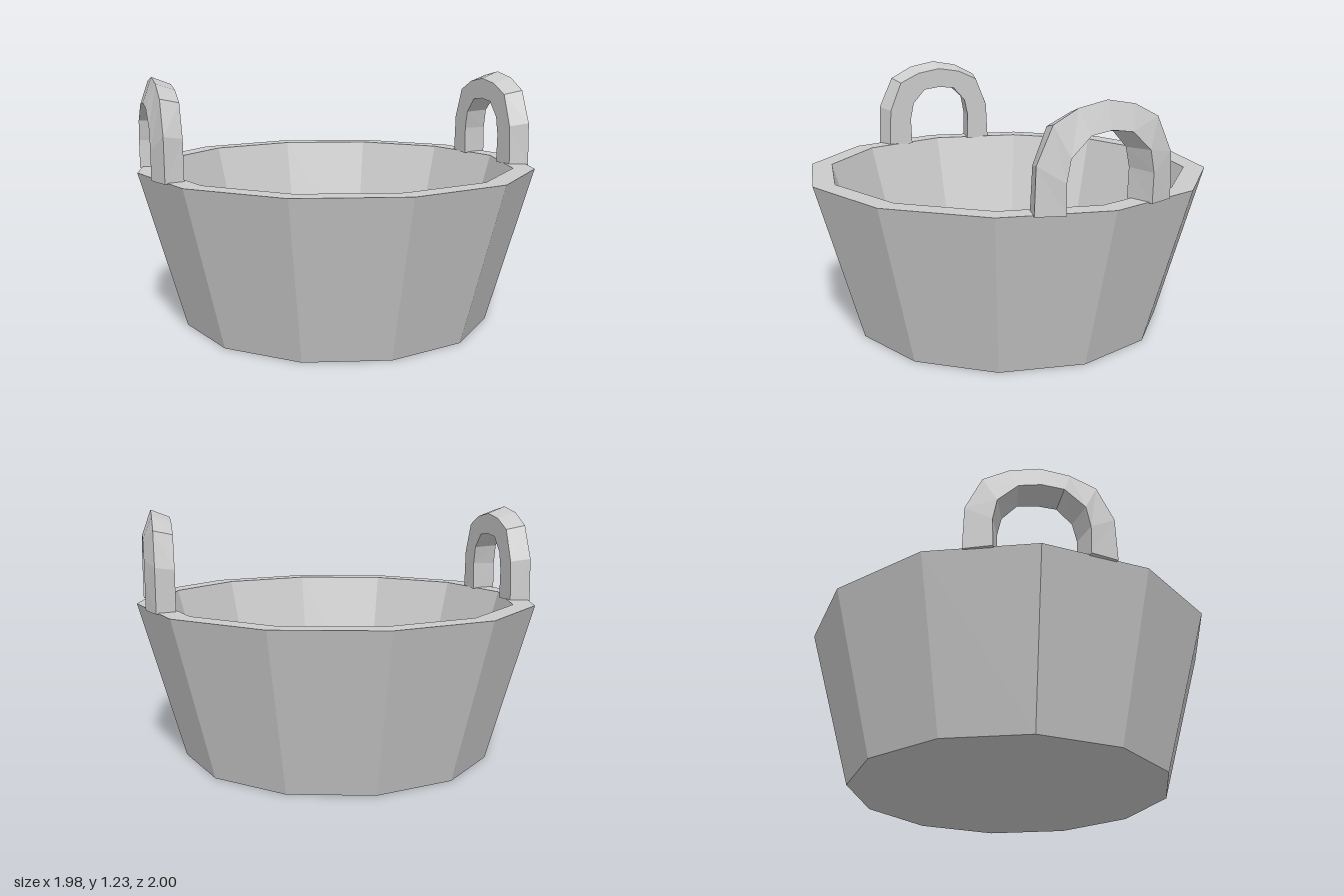
import * as THREE from 'three';

const material = new THREE.MeshStandardMaterial({ color: 0xcccccc, flatShading: true });

// Half arch [half width, height] from leg to crown -> full arch from +z to -z
function arch(x, half) {
  const mirrored = half.slice(0, -1).reverse().map(([z, y]) => [-z, y]);
  return [...half, ...mirrored].map(([z, y]) => new THREE.Vector3(x, y, z + 0.01));
}

// Four edge curves of the handle: outer contour, then inner contour
const edges = [
  arch(0.91, [[0.34, 0.77], [0.333, 0.98], [0.257, 1.14], [0.138, 1.2], [0, 1.225]]),
  arch(0.82, [[0.31, 0.77], [0.3, 0.965], [0.235, 1.12], [0.125, 1.17], [0, 1.19]]),
  arch(0.82, [[0.175, 0.77], [0.18, 0.91], [0.16, 1.0], [0.09, 1.075], [0, 1.085]]),
  arch(0.953, [[0.212, 0.77], [0.215, 0.905], [0.195, 1.005], [0.102, 1.09], [0, 1.105]]),
];

// Skin the four edge curves; side = 1 for left, -1 for right
function handleGeometry(side) {
  const positions = [];
  const quad = (a, b, c, d) => {
    const corners = side > 0 ? [a, b, c, a, c, d] : [a, c, b, a, d, c];
    for (const p of corners) positions.push(p.x * side, p.y, p.z);
  };
  const last = edges[0].length - 1;
  for (let i = 0; i < last; i++) {
    for (let j = 0; j < 4; j++) {
      const e = edges[j], f = edges[(j + 1) % 4];
      quad(e[i], e[i + 1], f[i + 1], f[i]);
    }
  }
  // Leg ends
  quad(...edges.map((e) => e[0]));
  quad(...edges.map((e) => e[last]).reverse());

  const geometry = new THREE.BufferGeometry();
  geometry.setAttribute('position', new THREE.Float32BufferAttribute(positions, 3));
  geometry.computeVertexNormals();
  return geometry;
}

export function createModel() {
  const group = new THREE.Group();
  group.name = 'tub';

  // Twelve-sided tapered bucket with thick wall and floor
  const profile = [[0, 0], [0.78, 0], [1, 0.775], [0.895, 0.775], [0.69, 0.06], [0, 0.06]]
    .map(([r, y]) => new THREE.Vector2(r, y));
  const bucket = new THREE.Mesh(new THREE.LatheGeometry(profile, 12), material);
  bucket.name = 'bucket';
  bucket.scale.x = 0.99;
  group.add(bucket);

  // Arched handles on both sides of the rim
  for (const side of [1, -1]) {
    const handle = new THREE.Mesh(handleGeometry(side), material);
    handle.name = side > 0 ? 'leftHandle' : 'rightHandle';
    group.add(handle);
  }
  return group;
}
